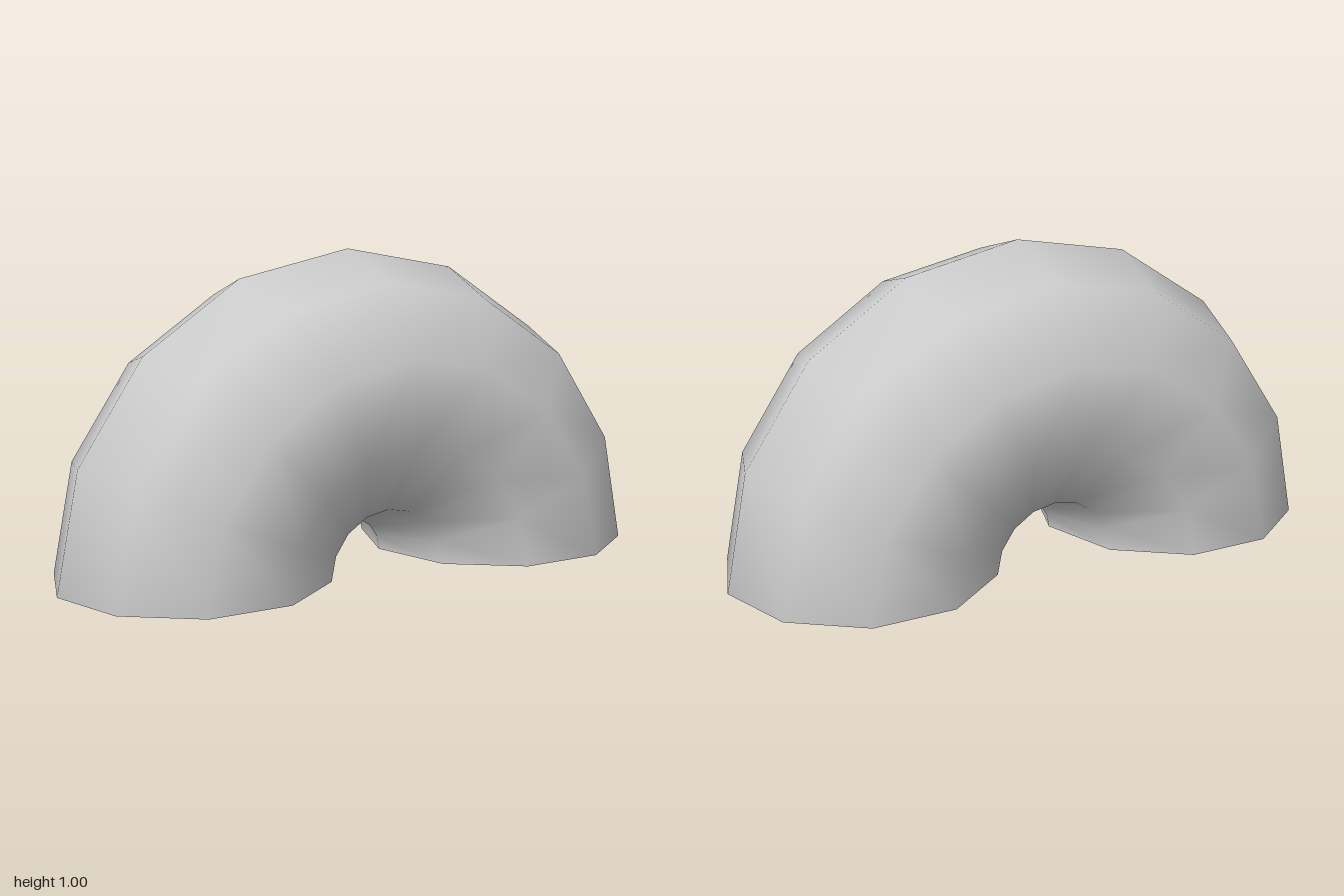
import * as THREE from 'three';

const RING = 0.56;   // radius of the arch centre line
const TUBE = 0.44;   // radius of the tube
const SIDES = 10;    // sides of the tube
const STEPS = 8;     // segments along the arch

export function createModel() {
  const group = new THREE.Group();
  group.name = 'arch';
  const material = new THREE.MeshStandardMaterial({ color: 0xcccccc });

  // Smooth half ring standing on its two ends
  const tube = new THREE.Mesh(new THREE.TorusGeometry(RING, TUBE, SIDES, STEPS, Math.PI), material);
  tube.name = 'archTube';
  group.add(tube);

  // Flat caps closing both ends, facing down
  for (const [name, side] of [['leftEndCap', 1], ['rightEndCap', -1]]) {
    const cap = new THREE.Mesh(new THREE.CircleGeometry(TUBE, SIDES), material);
    cap.name = name;
    cap.rotation.x = Math.PI / 2;
    cap.position.x = side * RING;
    group.add(cap);
  }
  return group;
}
